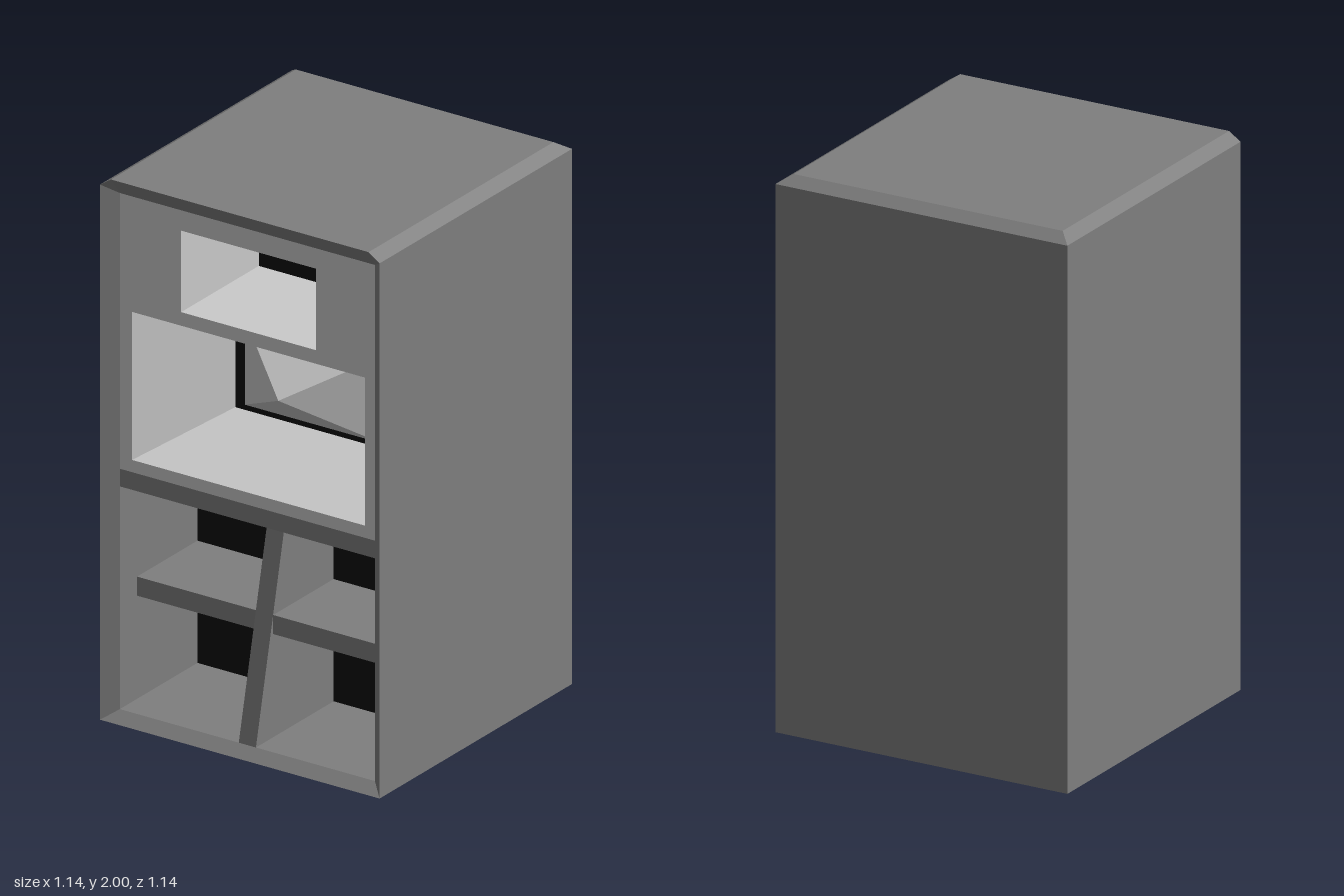
import * as THREE from 'three';

const FACE = 0.525;  // plane of the recessed front panel
const BACK = 0.065;  // plane of the dark inner back

// Skins matching cross-sections; each ring is a list of [x, y, z], anticlockwise seen from the front.
function loft(rings, capStart = false) {
  const pos = [];
  const tri = (a, b, c) => pos.push(...a, ...b, ...c);
  for (let i = 0; i < rings.length - 1; i++) {
    const r = rings[i], s = rings[i + 1], n = r.length;
    for (let j = 0; j < n; j++) {
      const k = (j + 1) % n;
      tri(r[j], r[k], s[k]);
      tri(r[j], s[k], s[j]);
    }
  }
  if (capStart) {
    const r = rings[0];
    for (let j = 1; j < r.length - 1; j++) tri(r[0], r[j + 1], r[j]);
  }
  const g = new THREE.BufferGeometry();
  g.setAttribute('position', new THREE.Float32BufferAttribute(pos, 3));
  g.computeVertexNormals();
  return g;
}

const rect = (x0, x1, y0, y1, z) => [[x0, y0, z], [x1, y0, z], [x1, y1, z], [x0, y1, z]];

// Cabinet section: half width, floor, shoulder height, half width of the top, top height
const section = (w, y0, y1, tw, y2, z) =>
  [[-w, y0, z], [w, y0, z], [w, y1, z], [tw, y2, z], [-tw, y2, z], [-w, y1, z]];

function box(x0, x1, y0, y1, z0, z1) {
  return new THREE.BoxGeometry(x1 - x0, y1 - y0, z1 - z0)
    .translate((x0 + x1) / 2, (y0 + y1) / 2, (z0 + z1) / 2);
}

export function createModel() {
  const material = (name, color) => {
    const m = new THREE.MeshStandardMaterial({ color });
    m.name = name;
    return m;
  };
  const grey = material('cabinet grey', 0x7f7f7f);
  const light = material('panel light grey', 0xcacaca);
  const black = material('opening black', 0x0d0d0d);

  const model = new THREE.Group();
  model.name = 'speakerCabinet';
  const add = (name, geometry, mat) => {
    const mesh = new THREE.Mesh(geometry, mat);
    mesh.name = name;
    model.add(mesh);
  };

  // Outer shell: chamfered top, bevelled front rim, then the inner walls
  add('cabinetShell', loft([
    section(0.57, 0, 1.97, 0.57, 1.97, -0.57),
    section(0.57, 0, 1.97, 0.525, 2, -0.525),
    section(0.57, 0, 1.97, 0.525, 2, 0.57),
    section(0.52, 0.035, 1.935, 0.52, 1.935, FACE),
    section(0.52, 0.035, 1.935, 0.52, 1.935, BACK),
  ], true), grey);
  add('innerBack', new THREE.PlaneGeometry(1.04, 1.9).translate(0, 0.985, BACK), black);

  // Front panel with openings for the port and the horn
  const shapeOf = (x0, x1, y0, y1, Type) =>
    new Type(rect(x0, x1, y0, y1, 0).map(([x, y]) => new THREE.Vector2(x, y)));
  const port = [-0.27, 0.28, 1.56, 1.86];
  const mouth = [-0.47, 0.48, 0.965, 1.51];
  const throat = [-0.31, 0.32, 1.06, 1.415];
  const panel = shapeOf(-0.52, 0.52, 0.92, 1.935, THREE.Shape);
  panel.holes.push(shapeOf(...port, THREE.Path), shapeOf(...mouth, THREE.Path));
  add('frontPanel', new THREE.ShapeGeometry(panel).translate(0, 0, FACE), light);
  add('portWalls', loft([rect(...port, FACE), rect(...port, BACK)]), light);

  // Horn: flared walls, dark throat and a pyramid plug
  const throatZ = 0.146;
  add('hornWalls', loft([rect(...mouth, FACE), rect(...throat, throatZ)]), light);
  add('hornThroat', new THREE.ShapeGeometry(shapeOf(...throat, THREE.Shape))
    .translate(0, 0, throatZ), black);
  add('hornPlug', loft([
    rect(-0.27, 0.29, 1.08, 1.4, throatZ + 0.002),
    rect(0.007, 0.007, 1.24, 1.24, 0.352),
  ]), light);

  // Lower bay: rail, shelf and a divider whose front edge leans back
  add('rail', box(-0.52, 0.52, 0.855, 0.92, BACK, FACE), grey);
  add('shelf', box(-0.52, 0.52, 0.415, 0.485, BACK, 0.423), grey);
  const divider = box(-0.035, 0.035, 0.035, 0.855, BACK, FACE);
  const p = divider.attributes.position;
  for (let i = 0; i < p.count; i++) {
    if (p.getZ(i) > 0.3 && p.getY(i) > 0.5) p.setZ(i, 0.34);
  }
  divider.computeVertexNormals();
  add('divider', divider, grey);

  return model;
}
